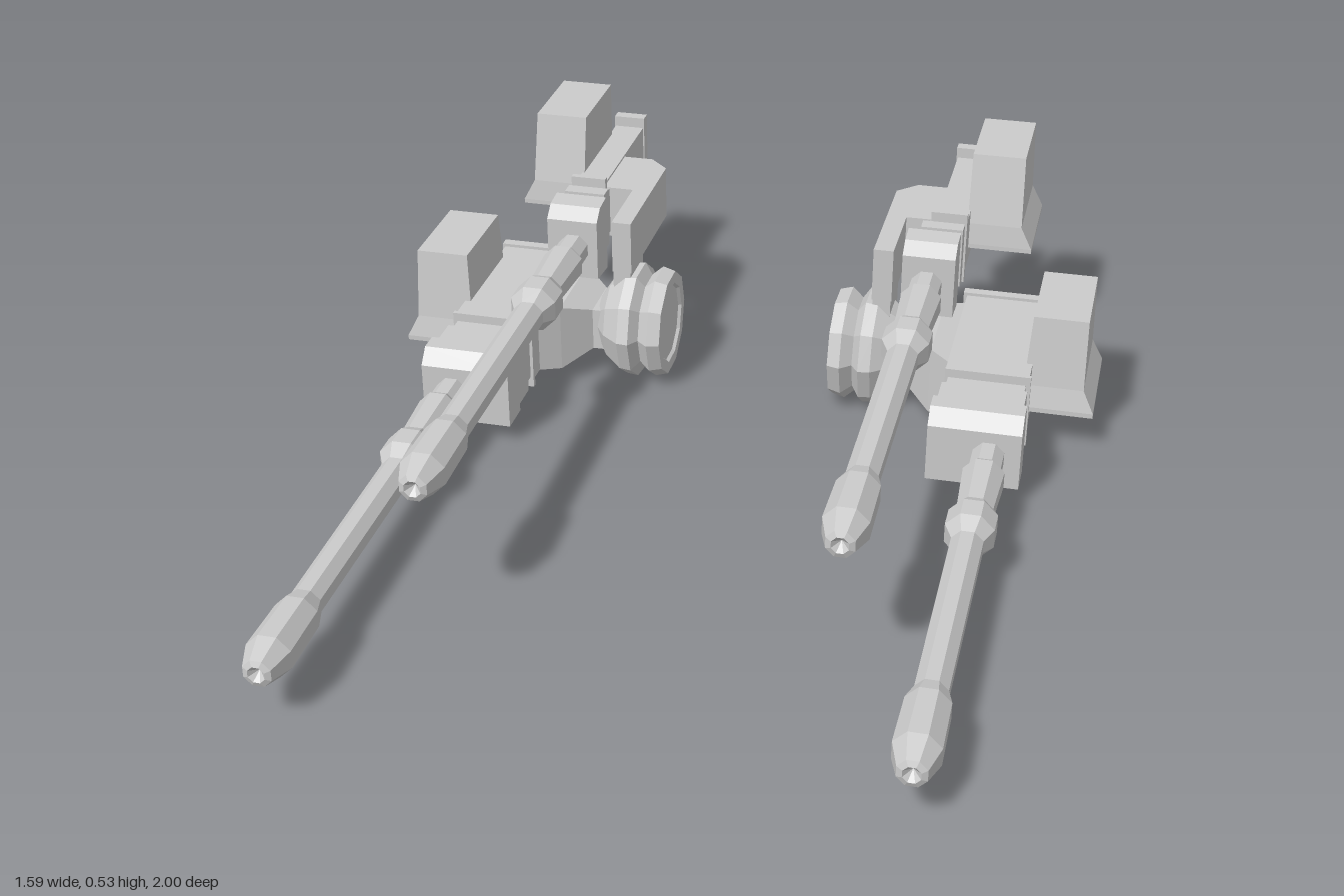
import * as THREE from 'three';

const material = new THREE.MeshStandardMaterial({ color: 0xcccccc, flatShading: true });

// Box given by its limits on each axis
function box(x0, x1, y0, y1, z0, z1) {
  return new THREE.BoxGeometry(x1 - x0, y1 - y0, z1 - z0)
    .translate((x0 + x1) / 2, (y0 + y1) / 2, (z0 + z1) / 2);
}

// Rectangular sections stacked along y: [y, x0, x1, z0, z1]
function stack(sections) {
  const n = sections.length - 1;
  const g = new THREE.BoxGeometry(1, 1, 1, 1, n, 1);
  const p = g.attributes.position;
  for (let i = 0; i < p.count; i++) {
    const [y, x0, x1, z0, z1] = sections[Math.round((p.getY(i) + 0.5) * n)];
    p.setXYZ(i, p.getX(i) > 0 ? x1 : x0, y, p.getZ(i) > 0 ? z1 : z0);
  }
  g.computeVertexNormals();
  return g;
}

// Side outline of [z, y] points, spanning x0 to x1
function sideProfile(points, x0, x1) {
  const shape = new THREE.Shape(points.map(([z, y]) => new THREE.Vector2(-z, y)));
  return new THREE.ExtrudeGeometry(shape, { depth: x1 - x0, bevelEnabled: false })
    .rotateY(Math.PI / 2).translate(x0, 0, 0);
}

// Top outline of [x, z] points, spanning y0 to y1
function topProfile(points, y0, y1) {
  const shape = new THREE.Shape(points.map(([x, z]) => new THREE.Vector2(x, -z)));
  return new THREE.ExtrudeGeometry(shape, { depth: y1 - y0, bevelEnabled: false })
    .rotateX(-Math.PI / 2).translate(0, y0, 0);
}

function lathe(points, sides) {
  return new THREE.LatheGeometry(points.map(([r, h]) => new THREE.Vector2(r, h)), sides);
}

// Barrel along z with collars and a swollen muzzle
function barrel(x, y, tip) {
  return lathe([
    [0, -1.1], [0.036, -1.1], [0.036, -1.0], [0.047, -0.98], [0.04, -0.84],
    [0.054, -0.81], [0.054, -0.755], [0.035, -0.72], [0.034, -0.23], [0.046, -0.19],
    [0.048, -0.06], [0.03, -0.005], [0.018, 0], [0, -0.02],
  ], 8).rotateX(Math.PI / 2).rotateZ(Math.PI / 8).translate(x, y, tip);
}

// Opposite-hand copy across x = 0, with the winding kept outward
function mirrored(source) {
  const g = source.index ? source.toNonIndexed() : source.clone();
  g.scale(-1, 1, 1);
  const p = g.attributes.position;
  const a = new THREE.Vector3(), b = new THREE.Vector3();
  for (let i = 0; i < p.count; i += 3) {
    a.fromBufferAttribute(p, i + 1);
    b.fromBufferAttribute(p, i + 2);
    p.setXYZ(i + 1, b.x, b.y, b.z);
    p.setXYZ(i + 2, a.x, a.y, a.z);
  }
  g.computeVertexNormals();
  return g;
}

// All parts of the left mount
function buildParts() {
  const parts = {};

  // Lower gun
  parts.lowerBarrel = barrel(0.597, 0.122, 1);
  parts.lowerMuzzleBlock = sideProfile(
    [[-0.065, 0.05], [-0.065, 0.18], [-0.095, 0.213], [-0.14, 0.213], [-0.14, 0.05]], 0.465, 0.665);
  parts.lowerNeck = box(0.48, 0.65, 0.065, 0.19, -0.27, -0.13);
  parts.lowerNeckRib = box(0.472, 0.657, 0.055, 0.2, -0.225, -0.155);
  parts.lowerFrontPlate = box(0.473, 0.66, 0.04, 0.21, -0.278, -0.267);
  parts.lowerBody = box(0.473, 0.656, 0.06, 0.205, -0.64, -0.275);
  parts.lowerBackPlate = box(0.465, 0.662, 0.038, 0.212, -0.662, -0.638);
  parts.lowerPod = stack([
    [0.094, 0.64, 0.797, -0.59, -0.325], [0.105, 0.64, 0.797, -0.59, -0.325],
    [0.155, 0.64, 0.772, -0.583, -0.335], [0.316, 0.65, 0.77, -0.58, -0.352],
  ]);

  // Arm tapering from the joint out to the lower body, stacked then laid along x
  parts.lowerArm = stack([
    [0.3, -0.18, -0.08, -0.53, -0.41], [0.37, -0.18, -0.08, -0.53, -0.41],
    [0.43, -0.208, -0.05, -0.58, -0.35], [0.48, -0.2, -0.06, -0.61, -0.31],
  ]).rotateZ(Math.PI / 2).rotateZ(Math.PI);

  // Grooved joint drum, axis along x
  parts.jointDrum = lathe([
    [0, 0.203], [0.09, 0.203], [0.095, 0.196], [0.122, 0.196], [0.13, 0.225], [0.108, 0.25],
    [0.135, 0.268], [0.132, 0.295], [0.1, 0.335], [0.06, 0.36], [0, 0.36],
  ], 10).rotateZ(-Math.PI / 2).translate(0, 0.137, -0.472);

  // Upper gun
  parts.upperBarrel = barrel(0.406, 0.342, 0.667);
  parts.upperFrontBlock = sideProfile(
    [[-0.395, 0.27], [-0.395, 0.41], [-0.425, 0.435], [-0.475, 0.44], [-0.475, 0.262]], 0.35, 0.467);
  parts.upperNeck = box(0.38, 0.46, 0.29, 0.4, -0.61, -0.47);
  parts.upperNeckRib = box(0.37, 0.465, 0.28, 0.42, -0.565, -0.53);
  parts.upperFrontPlate = box(0.385, 0.467, 0.262, 0.43, -0.607, -0.592);
  parts.upperBody = box(0.395, 0.465, 0.28, 0.405, -0.975, -0.6);
  parts.upperBackPlate = box(0.392, 0.467, 0.26, 0.43, -1, -0.972);
  parts.upperPod = stack([
    [0.315, 0.46, 0.61, -0.92, -0.665], [0.325, 0.46, 0.61, -0.92, -0.665],
    [0.375, 0.46, 0.584, -0.918, -0.67], [0.535, 0.46, 0.58, -0.918, -0.7],
  ]);

  // Bent arm running inward, then forward over the joint
  parts.upperArm = topProfile([
    [0.4, -0.8], [0.4, -0.615], [0.325, -0.615], [0.325, -0.43],
    [0.28, -0.43], [0.28, -0.755], [0.325, -0.8],
  ], 0.275, 0.4);
  parts.upperArmFoot = box(0.282, 0.323, 0.2, 0.3, -0.54, -0.43);
  return parts;
}

export function createModel() {
  const model = new THREE.Group();
  model.name = 'twinGunMounts';
  const parts = buildParts();
  for (const side of ['left', 'right']) {
    const mount = new THREE.Group();
    mount.name = side + 'Mount';
    for (const [name, geometry] of Object.entries(parts)) {
      const mesh = new THREE.Mesh(side === 'left' ? geometry : mirrored(geometry), material);
      mesh.name = name;
      mount.add(mesh);
    }
    model.add(mount);
  }
  return model;
}
